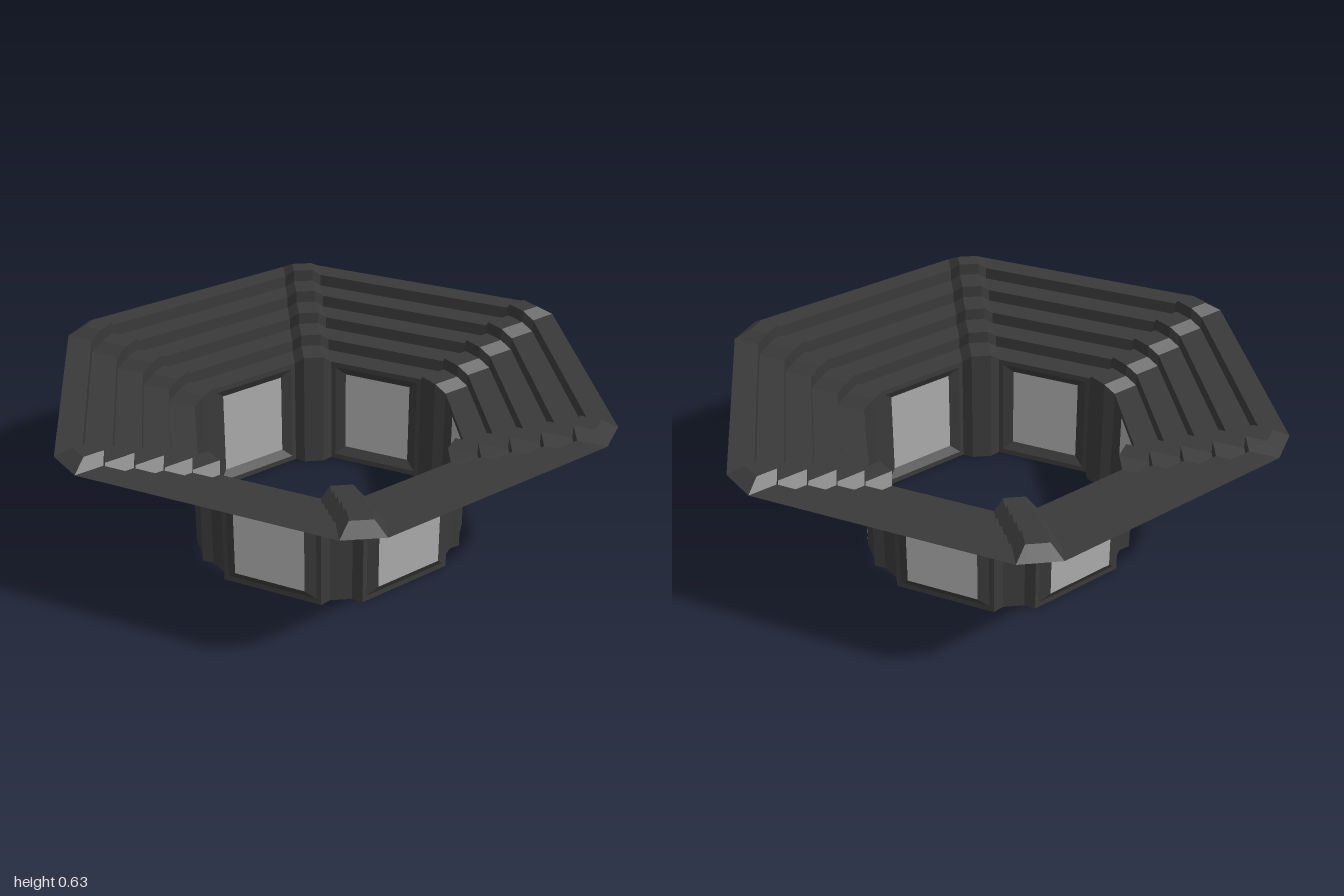
import * as THREE from 'three';

const dark = new THREE.MeshStandardMaterial({ color: 0x3a3a3a, flatShading: true, side: THREE.DoubleSide });
const pane = new THREE.MeshStandardMaterial({ color: 0xaaaaaa, flatShading: true, side: THREE.DoubleSide });

const C30 = Math.cos(Math.PI / 6), T30 = Math.tan(Math.PI / 6);
const RIB = 0.07;      // half width of a corner rib
const CREST = 0.037;   // half width of its flat crest
const WALL = 0.455, WALL_TOP = 0.42;

// Stepped flare, from the outer rim in: [distance from axis, height]
const steps = [[0.9, 0.6]];
for (let i = 0; i < 4; i++) {
  const a = 0.815 - i * 0.09, y = 0.6 - i * 0.045;
  steps.push([a, y], [a, y - 0.045]);
}
steps.push([WALL, WALL_TOP]);

// Flat-faced surface through rows of points of equal length
function loft(rows, closed = false) {
  const pos = [], a = new THREE.Vector3(), b = new THREE.Vector3();
  const tri = (p, q, r) => {
    a.fromArray(q).sub(b.fromArray(p));
    b.fromArray(r).sub(new THREE.Vector3(...p));
    if (a.cross(b).length() > 1e-8) pos.push(...p, ...q, ...r);
  };
  for (let i = 0; i < rows.length - 1; i++) {
    const u = rows[i], v = rows[i + 1], n = u.length;
    for (let j = 0; j < (closed ? n : n - 1); j++) {
      const k = (j + 1) % n;
      tri(u[j], u[k], v[k]);
      tri(u[j], v[k], v[j]);
    }
  }
  const g = new THREE.BufferGeometry();
  g.setAttribute('position', new THREE.Float32BufferAttribute(pos, 3));
  g.computeVertexNormals();
  return g;
}

const halfWidth = a => a * T30 - RIB / C30;
const rect = (w, y0, y1, z) => [[-w, y0, z], [w, y0, z], [w, y1, z], [-w, y1, z]];

// One side's stepped flare, running between two ribs
const flareGeo = loft(steps.map(([a, y]) => [[halfWidth(a), y, a], [-halfWidth(a), y, a]]));

// Wall with a bevelled frame standing slightly proud of it
const frameGeo = loft([
  rect(halfWidth(WALL), 0, WALL_TOP, WALL),
  rect(0.165, 0.02, 0.4, WALL),
  rect(0.13, 0.052, 0.368, WALL + 0.018),
], true);

// Window pane
const paneGeo = new THREE.PlaneGeometry(0.26, 0.316);
paneGeo.translate(0, 0.21, WALL + 0.018);

// Corner rib: raised over the flare, set inward along the wall
const ribRows = [];
const ribRow = (r, y, cr, cy) => ribRows.push([[RIB, y, r], [CREST, cy, cr], [-CREST, cy, cr], [-RIB, y, r]]);
const radius = a => a / C30 - RIB * T30;
ribRow(radius(0.9), 0.6, radius(0.9), 0.6);
steps.forEach(([a, y], i) => ribRow(radius(a), y, radius(a) - (i ? 0.023 : 0.05), y + 0.032));
ribRow(radius(WALL), 0, radius(WALL) - 0.023, 0);
const ribGeo = loft(ribRows);

export function createModel() {
  const model = new THREE.Group();
  model.name = 'hexagonalTower';
  const add = (name, geo, mat, angle) => {
    const m = new THREE.Mesh(geo, mat);
    m.name = name;
    m.rotation.y = angle;
    model.add(m);
  };
  for (let i = 0; i < 6; i++) {
    const angle = i * Math.PI / 3;
    add('steppedFlare', flareGeo, dark, angle);
    add('windowFrame', frameGeo, dark, angle);
    add('windowPane', paneGeo, pane, angle);
    add('cornerRib', ribGeo, dark, angle + Math.PI / 6);
  }
  return model;
}
